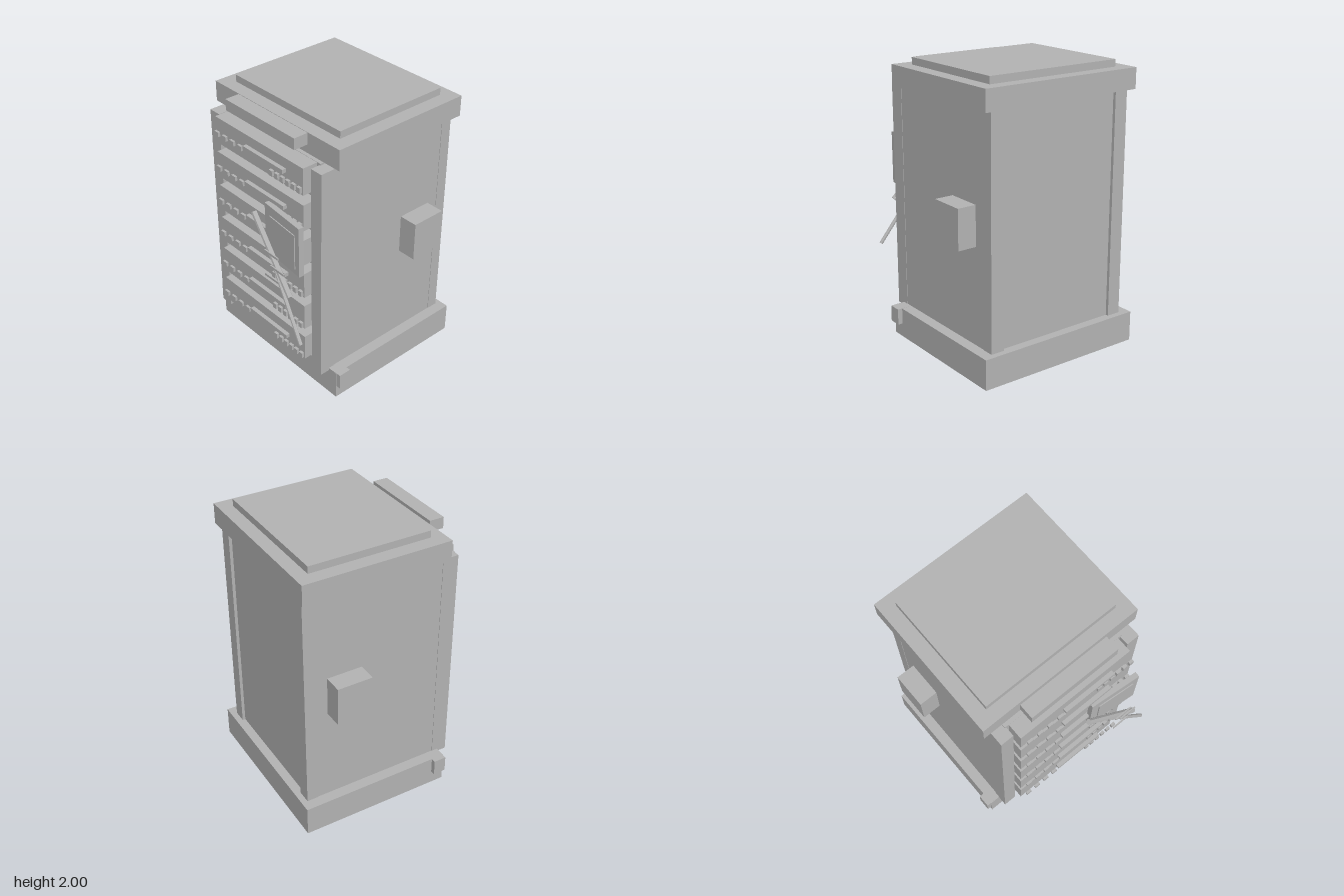
import * as THREE from 'three';

export function createModel() {
  const model = new THREE.Group();
  model.name = 'serverCabinet';
  const grey = new THREE.MeshStandardMaterial({ color: 0xb2b2b2 });
  grey.name = 'plain grey';

  // Box given by its limits on each axis
  const box = (name, x0, x1, y0, y1, z0, z1, parent = model) => {
    const mesh = new THREE.Mesh(new THREE.BoxGeometry(x1 - x0, y1 - y0, z1 - z0), grey);
    mesh.position.set((x0 + x1) / 2, (y0 + y1) / 2, (z0 + z1) / 2);
    mesh.name = name;
    parent.add(mesh);
    return mesh;
  };
  // The same box on the left and right sides
  const pair = (name, x0, x1, ...rest) => {
    box(name + 'Left', x0, x1, ...rest);
    box(name + 'Right', -x1, -x0, ...rest);
  };

  // Plinth and cap
  box('base', -0.63, 0.63, 0, 0.215, -0.695, 0.41);
  pair('baseClip', 0.57, 0.665, 0.1, 0.216, 0.315, 0.407);
  box('cap', -0.61, 0.61, 1.805, 1.95, -0.675, 0.385);
  box('topPlate', -0.51, 0.51, 1.95, 2, -0.58, 0.29);
  box('signBar', -0.34, 0.34, 1.88, 1.96, 0.4, 0.507);

  // Cabinet shell
  box('backPanel', -0.47, 0.47, 0.2, 1.805, -0.63, -0.6);
  box('innerBacking', -0.47, 0.47, 0.2, 1.805, 0.38, 0.412);
  box('frontSill', -0.465, 0.465, 0.212, 0.25, 0.4, 0.44);
  pair('sidePanel', 0.53, 0.552, 0.2, 1.805, -0.64, 0.37);
  pair('frontPost', 0.46, 0.555, 0.195, 1.793, 0.365, 0.48);
  pair('backPost', 0.455, 0.555, 0.2, 1.805, -0.652, -0.57);
  pair('sideBox', 0.55, 0.687, 0.9, 1.18, -0.485, -0.23);

  // Stacked rack units with lamps, slot bars and ports
  for (let i = 0; i < 6; i++) {
    const y = 1.707 - i * 0.2637;
    const unit = new THREE.Group();
    unit.name = 'rackUnit' + (i + 1);
    model.add(unit);
    box('drawer', -0.44, 0.44, y - 0.096, y + 0.096, 0.412, 0.525, unit);
    box('slotBar', -0.106, 0.288, y + 0.004, y + 0.032, 0.532, 0.562, unit);
    for (let j = 0; j < 4; j++) {
      const x = -0.388 + j * 0.081;
      box('lamp', x - 0.021, x + 0.021, y - 0.017, y + 0.016, 0.545, 0.562, unit);
    }
    for (let j = 0; j < 6; j++) {
      const x = 0.172 + j * 0.053;
      box('port', x - 0.016, x + 0.016, y - 0.062, y - 0.022, 0.545, 0.564, unit);
    }
  }

  // Monitor, turned slightly to one side
  const monitor = new THREE.Group();
  monitor.name = 'monitor';
  monitor.position.set(0.309, 1.245, 0.575);
  monitor.rotation.y = -0.09;
  model.add(monitor);
  box('monitorCase', -0.187, 0.187, -0.185, 0.185, -0.019, 0.019, monitor);
  box('screen', -0.13, 0.145, -0.145, 0.115, 0.019, 0.026, monitor);

  // Small bars floating in front of the monitor
  for (const [x, y] of [[0.317, 1.179], [0.37, 1.084], [0.317, 0.992]]) {
    box('floatingBar', x - 0.067, x + 0.067, y - 0.008, y + 0.008, 0.684, 0.693);
  }

  // Slanted rods
  const rod = (name, a, b, radius) => {
    const start = new THREE.Vector3(...a), end = new THREE.Vector3(...b);
    const dir = end.clone().sub(start);
    const geometry = new THREE.CylinderGeometry(radius, radius, dir.length(), 8).toNonIndexed();
    geometry.computeVertexNormals();
    const mesh = new THREE.Mesh(geometry, grey);
    mesh.position.copy(start).lerp(end, 0.5);
    mesh.quaternion.setFromUnitVectors(new THREE.Vector3(0, 1, 0), dir.normalize());
    mesh.name = name;
    model.add(mesh);
  };
  rod('upperRod', [0.058, 1.347, 0.618], [0.462, 0.912, 0.665], 0.02);
  rod('lowerRod', [0.28, 1.005, 0.628], [0.576, 0.592, 0.675], 0.014);

  return model;
}
